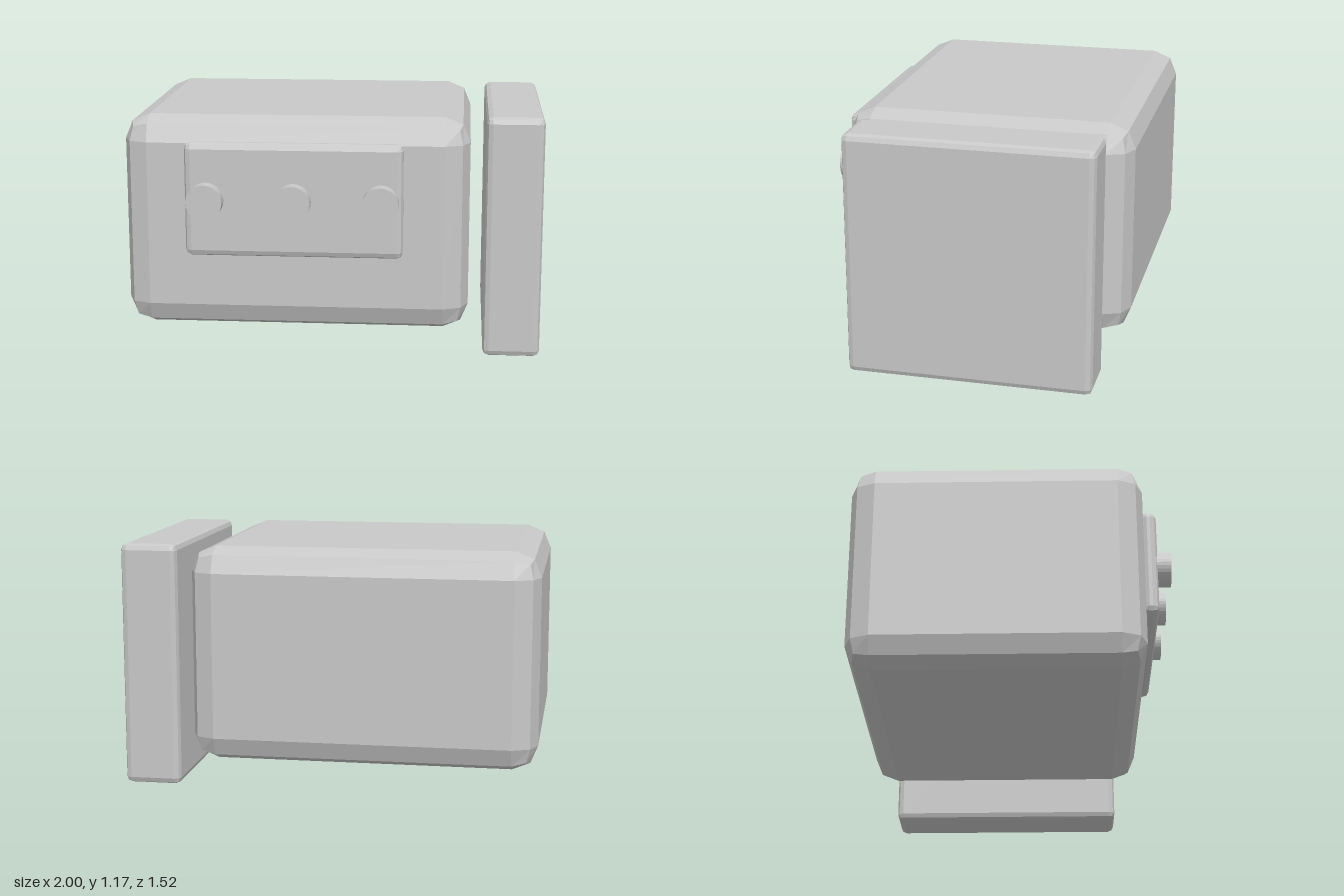
import * as THREE from 'three';
import { RoundedBoxGeometry } from 'three/addons/geometries/RoundedBoxGeometry.js';

export function createModel() {
  const model = new THREE.Group();
  model.name = 'applianceSet';

  const grey = new THREE.MeshStandardMaterial({ color: 0xc8c8c8, flatShading: true });
  grey.name = 'plain grey';

  // Box given by its extents, with a two-facet bevel on every edge
  function bevelBox(name, [x0, x1], [y0, y1], [z0, z1], bevel) {
    const geometry = new RoundedBoxGeometry(x1 - x0, y1 - y0, z1 - z0, 1, bevel);
    const mesh = new THREE.Mesh(geometry, grey);
    mesh.name = name;
    mesh.position.set((x0 + x1) / 2, (y0 + y1) / 2, (z0 + z1) / 2);
    model.add(mesh);
  }

  // Large body, slab standing beside it, and plate on the front
  bevelBox('body', [-1, 0.65], [0.145, 1.175], [-0.76, 0.617], 0.12);
  bevelBox('sideSlab', [0.725, 1], [0, 1.175], [-0.658, 0.515], 0.03);
  bevelBox('controlPanel', [-0.69, 0.34], [0.525, 1.07], [0.617, 0.694], 0.03);

  // Three round knobs on the control panel
  const knobGeometry = new THREE.CylinderGeometry(0.085, 0.085, 0.08, 32).rotateX(Math.PI / 2);
  for (let i = 0; i < 3; i++) {
    const knob = new THREE.Mesh(knobGeometry, grey);
    knob.name = 'knob' + (i + 1);
    knob.position.set(-0.588 + i * 0.4125, 0.798, 0.72);
    model.add(knob);
  }

  return model;
}
